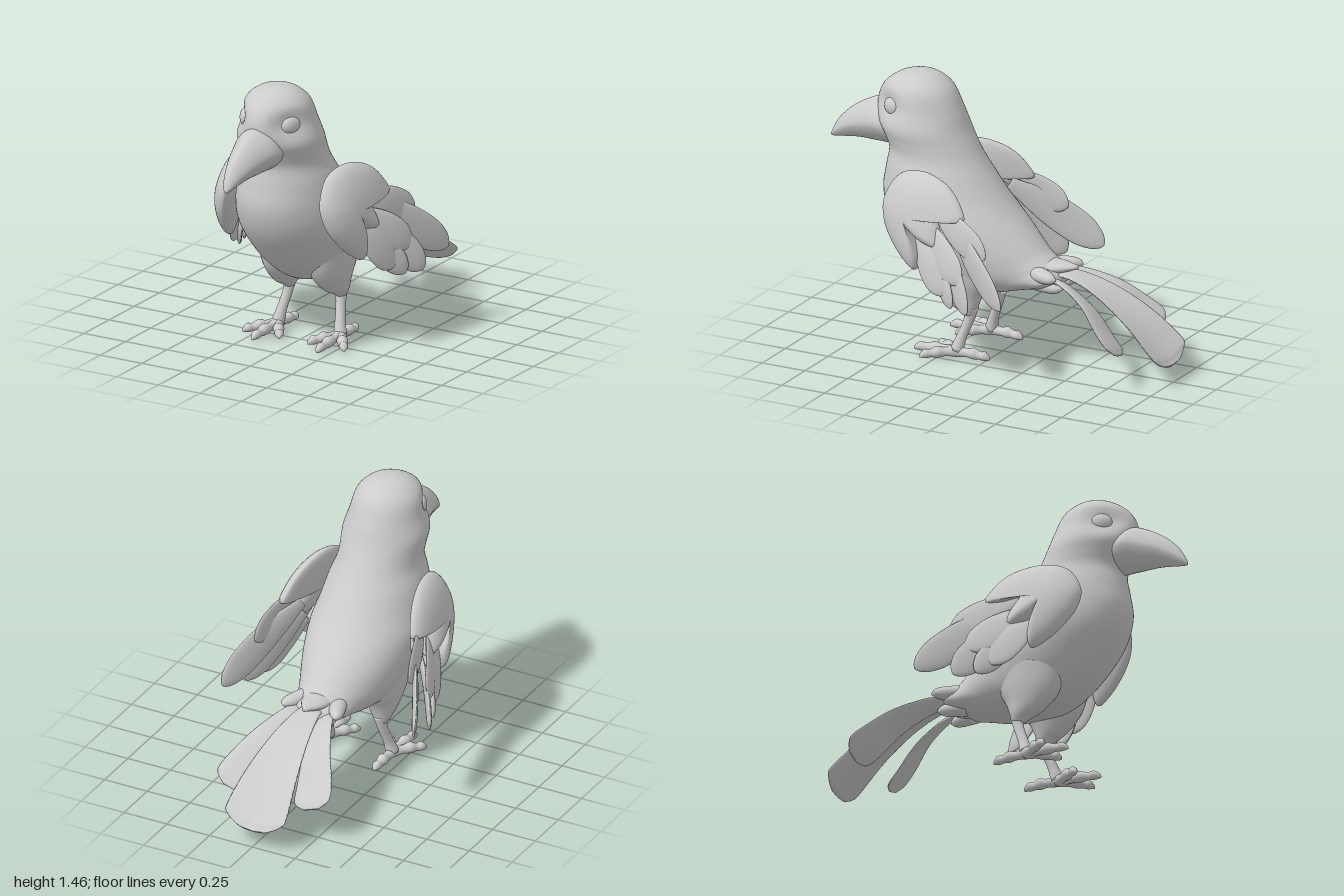
import * as THREE from 'three';

const V = (x, y, z) => new THREE.Vector3(x, y, z);
const material = new THREE.MeshStandardMaterial({ color: 0xcccccc });

// Closed smooth skin over rows of points, each row running once around
function skin(rows) {
  const n = rows.length - 1, segs = rows[0].length, index = [];
  const centre = row => row.reduce((sum, q) => sum.add(q), V(0, 0, 0)).divideScalar(segs);
  const first = (n + 1) * segs, last = first + 1;
  for (let j = 0; j < segs; j++) {
    const k = (j + 1) % segs;
    for (let a = 0; a < n * segs; a += segs) {
      const b = a + segs;
      index.push(a + j, a + k, b + j, a + k, b + k, b + j);
    }
    index.push(first, k, j, last, n * segs + j, n * segs + k);
  }
  const g = new THREE.BufferGeometry().setFromPoints([...rows.flat(), centre(rows[0]), centre(rows[n])]);
  g.setIndex(index);
  g.computeVertexNormals();
  return g;
}

// Skin over rings { c: centre, u, v: half axes }; power bends the ellipse towards a diamond
function loft(rings, segs = 20, sub = 5, power = 1) {
  const [C, U, W] = ['c', 'u', 'v'].map(k => new THREE.CatmullRomCurve3(rings.map(r => r[k]), false, 'catmullrom', 0.5));
  const n = (rings.length - 1) * sub, rows = [];
  const along = C.getPoint(0.55).sub(C.getPoint(0.45));
  const flip = U.getPoint(0.5).cross(W.getPoint(0.5)).dot(along) < 0 ? -1 : 1;
  const bend = a => Math.sign(a) * Math.abs(a) ** power;
  for (let i = 0; i <= n; i++) {
    const c = C.getPoint(i / n), u = U.getPoint(i / n), v = W.getPoint(i / n);
    rows.push(Array.from({ length: segs }, (_, j) => {
      const a = j / segs * Math.PI * 2;
      return c.clone().addScaledVector(u, bend(Math.cos(a))).addScaledVector(v, flip * bend(Math.sin(a)));
    }));
  }
  return skin(rows);
}

// Move each vertex by a rule
function warp(geometry, rule) {
  const p = geometry.attributes.position;
  for (let i = 0; i < p.count; i++) p.setXYZ(i, ...rule(p.getX(i), p.getY(i), p.getZ(i)));
  geometry.computeVertexNormals();
  return geometry;
}

// Rings in the middle plane: [front z, front y, back z, back y, half width]
const profile = rows => rows.map(([fz, fy, bz, by, w]) => ({
  c: V(0, (fy + by) / 2, (fz + bz) / 2), u: V(w, 0, 0), v: V(0, (by - fy) / 2, (bz - fz) / 2),
}));

// Rings along a path: [x, y, z, half width, half thickness]; ref is the width direction
const path = (rows, ref) => rows.map(([x, y, z, w, t = w], i) => {
  const a = rows[Math.max(i - 1, 0)], b = rows[Math.min(i + 1, rows.length - 1)];
  const d = V(b[0] - a[0], b[1] - a[1], b[2] - a[2]).normalize();
  const u = ref.clone().addScaledVector(d, -ref.dot(d)).normalize();
  return { c: V(x, y, z), u: u.clone().multiplyScalar(w), v: d.cross(u).multiplyScalar(t) };
});

// Leaf-shaped wing feather from root to tip
const leaf = [[0, 0.35], [0.25, 0.75], [0.5, 0.98], [0.75, 0.95], [0.9, 0.66], [0.975, 0.32], [1, 0.05]];
const feather = (root, tip, width) => leaf.map(([t, w]) => [
  ...root.map((r, k) => r + (tip[k] - r) * t + (k === 0 ? 0.015 * Math.sin(Math.PI * t) : 0)),
  w * width, 0.015 * Math.min(1, w + 0.2),
]);

// Domed wing shoulder whose rear edge ends in three lobes; outline is [z, y]
const shoulderOutline = [
  [0.33, 1.025], [0.45, 0.985], [0.53, 0.85], [0.515, 0.74], [0.46, 0.65], [0.37, 0.56], [0.295, 0.522],
  [0.275, 0.60], [0.32, 0.71], [0.24, 0.67], [0.15, 0.665], [0.165, 0.75], [0.21, 0.84], [0.11, 0.82],
  [0.02, 0.83], [0.055, 0.905], [0.125, 0.975], [0.22, 1.015],
];
function shoulder(s) {
  const edge = new THREE.CatmullRomCurve3(shoulderOutline.map(([z, y]) => V(0, y, z)), true).getPoints(90).slice(1);
  if (s > 0) edge.reverse();
  const rows = [];
  for (let i = 1; i < 24; i++) {
    const a = i / 24 * Math.PI, c = Math.cos(a);
    rows.push(edge.map(e => {
      const q = V(0, 0.8, 0.36).lerp(e, Math.sin(a));
      q.x = s * (0.34 - 0.167 * (q.z - 0.3) - 0.19 * (q.y - 0.79) + (c > 0 ? 0.095 : 0.045) * c);
      return q;
    }));
  }
  return skin(rows);
}

export function createModel() {
  const model = new THREE.Group();
  const add = (name, geometry, parent = model) => {
    const m = new THREE.Mesh(geometry, material);
    m.name = name;
    parent.add(m);
    return m;
  };
  const group = name => {
    const g = new THREE.Group();
    g.name = name;
    model.add(g);
    return g;
  };

  // Head and body in one skin, from crown to rump, with pressed-in eye sockets
  const body = loft(profile([
    [0.492, 1.46, 0.488, 1.46, 0.003], [0.535, 1.457, 0.445, 1.459, 0.045], [0.605, 1.432, 0.375, 1.44, 0.11],
    [0.675, 1.375, 0.30, 1.38, 0.172], [0.71, 1.29, 0.245, 1.27, 0.2], [0.70, 1.20, 0.21, 1.18, 0.224],
    [0.66, 1.12, 0.17, 1.10, 0.218], [0.635, 1.05, 0.13, 1.03, 0.22], [0.65, 0.95, 0.075, 0.95, 0.25],
    [0.665, 0.82, 0, 0.85, 0.275], [0.62, 0.68, -0.07, 0.77, 0.295], [0.52, 0.54, -0.14, 0.70, 0.285],
    [0.40, 0.42, -0.20, 0.64, 0.26], [0.25, 0.335, -0.25, 0.59, 0.225], [0.02, 0.34, -0.29, 0.56, 0.18],
    [-0.15, 0.38, -0.32, 0.535, 0.155], [-0.28, 0.41, -0.35, 0.515, 0.135], [-0.375, 0.45, -0.375, 0.485, 0.06],
  ]), 64, 5);
  add('body', warp(body, (x, y, z) => {
    const r2 = ((y - 1.29) / 0.08) ** 2 + ((z - 0.61) / 0.095) ** 2;
    return [x - Math.sign(x) * 0.045 * Math.exp(-r2) * Math.min(1, Math.abs(x) / 0.1), y, z];
  }));

  // Beak
  add('beak', loft(profile([
    [0.58, 1.03, 0.65, 1.27, 0.125], [0.65, 1.035, 0.71, 1.283, 0.128], [0.74, 1.035, 0.79, 1.25, 0.102],
    [0.83, 1.035, 0.87, 1.20, 0.076], [0.91, 1.025, 0.94, 1.135, 0.049], [0.97, 1.016, 0.98, 1.075, 0.026],
    [0.995, 1.015, 1.0, 1.03, 0.007],
  ]), 32, 5, 1.25));

  // Middle tail feather, cupped so its edges rise
  const tail = group('tail');
  add('centreTailFeather', warp(loft(path([
    [0, 0.48, -0.30, 0.05, 0.02], [0, 0.485, -0.42, 0.07, 0.016], [0, 0.42, -0.60, 0.105, 0.014],
    [0, 0.295, -0.79, 0.145, 0.014], [0, 0.145, -0.95, 0.175, 0.014], [0, 0.112, -0.98, 0.155, 0.012],
    [0, 0.098, -0.998, 0.08, 0.008],
  ], V(1, 0, 0)), 24), (x, y, z) => [x, y + 1.6 * x * x, z]), tail);
  // Tuft at the root of the tail
  add('rumpTuft', loft(path([
    [0, 0.51, -0.22, 0.10, 0.05], [0, 0.525, -0.35, 0.065, 0.03], [0, 0.535, -0.44, 0.01, 0.01],
  ], V(1, 0, 0))), tail);

  for (const s of [1, -1]) {
    const side = s > 0 ? 'left' : 'right';
    const strip = (rows, ref, segs) => loft(path(rows.map(([x, ...r]) => [s * x, ...r]), V(s * ref[0], ref[1], ref[2])), segs);

    // Eye
    const eye = add(side + 'Eye', new THREE.SphereGeometry(1, 32, 20));
    eye.scale.set(0.03, 0.047, 0.056);
    eye.position.set(s * 0.136, 1.287, 0.572);
    eye.rotation.y = -s * 0.45;

    // Outer tail feather and tufts
    add(side + 'TailFeather', strip([
      [0.07, 0.47, -0.30, 0.04, 0.018], [0.10, 0.46, -0.42, 0.055, 0.014], [0.15, 0.385, -0.58, 0.085, 0.013],
      [0.20, 0.28, -0.70, 0.11, 0.013], [0.225, 0.22, -0.77, 0.11, 0.012], [0.235, 0.19, -0.80, 0.05, 0.008],
    ], [1, 0.4, 0], 24), tail);
    for (const [x, y, z, w] of [[0.15, 0.50, -0.39, 0.05], [0.08, 0.43, -0.39, 0.05]])
      add(side + 'TailTuft', strip([
        [x * 0.6, y, -0.24, w, 0.04], [x * 0.88, y, -0.33, w * 0.8, 0.034], [x, y, z + 0.02, w * 0.5, 0.022], [x, y, z, 0.006],
      ], [1, 0, 0]), tail);

    // Wing with two feather layers: width lean, [root, tip, half width]
    const wing = group(side + 'Wing');
    add('shoulder', shoulder(s), wing);
    const layers = {
      middleFeather: [0.15, [
        [[0.34, 0.85, 0.20], [0.45, 0.67, -0.14], 0.085], [[0.355, 0.76, 0.24], [0.50, 0.53, -0.02], 0.085],
        [[0.36, 0.70, 0.30], [0.47, 0.44, 0.09], 0.085],
      ]],
      longFeather: [0.65, [
        [[0.32, 0.80, 0.13], [0.56, 0.45, -0.29], 0.09], [[0.33, 0.72, 0.17], [0.54, 0.385, -0.08], 0.085],
        [[0.34, 0.66, 0.22], [0.50, 0.39, 0.03], 0.07],
      ]],
    };
    for (const [name, [lean, list]] of Object.entries(layers))
      for (const [root, tip, w] of list) add(name, strip(feather(root, tip, w), [lean, 1, -1], 20), wing);

    // Leg with feathered thigh
    const leg = group(side + 'Leg');
    add('thigh', strip([
      [0.13, 0.54, 0.17, 0.135, 0.20], [0.14, 0.41, 0.155, 0.105, 0.17], [0.15, 0.32, 0.135, 0.072, 0.105],
      [0.155, 0.27, 0.11, 0.05, 0.055], [0.155, 0.235, 0.10, 0.03, 0.03],
    ], [1, 0, 0], 28), leg);
    add('shank', strip([
      [0.152, 0.28, 0.095, 0.036], [0.16, 0.20, 0.112, 0.027], [0.175, 0.11, 0.145, 0.027], [0.188, 0.04, 0.165, 0.036],
    ], [1, 0, 0]), leg);

    // Knuckled toes ending in small claws
    for (const [tx, tz, name] of [[0.195, 0.41, 'middleToe'], [0.305, 0.32, 'outerToe'], [0.085, 0.32, 'innerToe'], [0.18, -0.02, 'backToe']]) {
      const rows = [[0, 0.036, 0.032], [0.3, 0.034, 0.023], [0.52, 0.036, 0.03], [0.7, 0.03, 0.021], [0.84, 0.03, 0.024], [0.95, 0.02, 0.014], [1, 0.012, 0.004]]
        .map(([t, y, r]) => [0.188 + (tx - 0.188) * t, y, 0.165 + (tz - 0.165) * t, r]);
      add(name, strip(rows, [0, 1, 0], 16), leg);
    }
  }
  return model;
}
